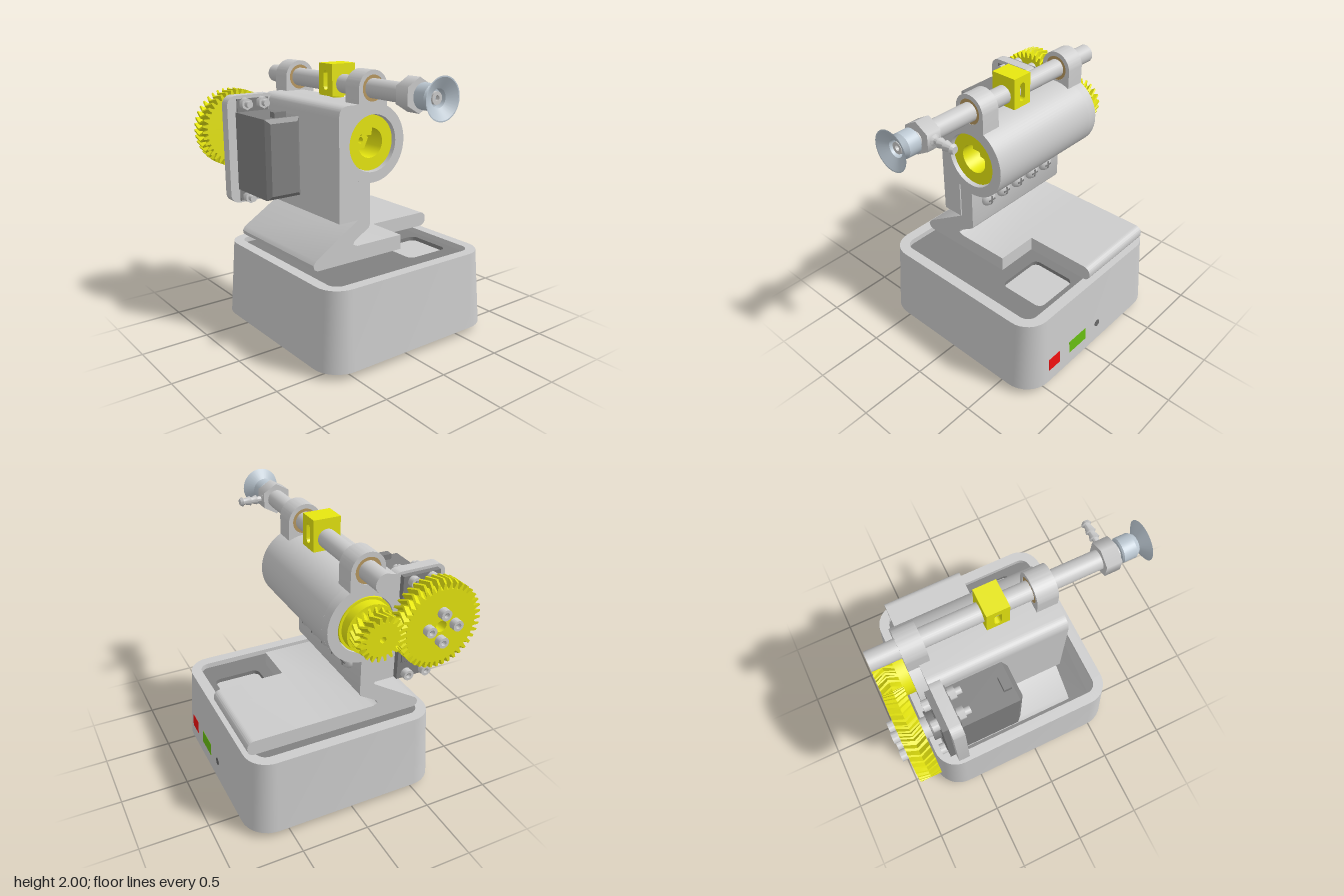
import * as THREE from 'three';
import { toCreasedNormals } from 'three/addons/utils/BufferGeometryUtils.js';

const paint = (color) => new THREE.MeshStandardMaterial({ color });
const GREY = paint(0xcccccc), DARK = paint(0x808080), YELLOW = paint(0xe6e610);
const STEEL = paint(0xbcc8d2), BRONZE = paint(0xb89860);
const CX = -0.075, BARREL_Y = 1.485, ROD_Y = 1.86, SERVO_X = -0.5, SERVO_Y = 1.475;

export function createModel() {
  const model = new THREE.Group();

  const add = (name, geometry, material = GREY, x = 0, y = 0, z = 0) => {
    const mesh = new THREE.Mesh(geometry, material);
    mesh.name = name;
    mesh.position.set(x, y, z);
    model.add(mesh);
    return mesh;
  };
  // box given by its two corners
  const box = (name, a, b, material) => add(name,
    new THREE.BoxGeometry(...a.map((v, i) => Math.abs(b[i] - v))), material,
    ...a.map((v, i) => (v + b[i]) / 2));
  // cylinder along z between two depths
  const rod = (name, r, x, y, z0, z1, material, sides = 32) => add(name,
    new THREE.CylinderGeometry(r, r, Math.abs(z1 - z0), sides).rotateX(Math.PI / 2), material, x, y, (z0 + z1) / 2);
  const extrude = (shape, depth, options = {}) => toCreasedNormals(
    new THREE.ExtrudeGeometry(shape, { depth, bevelEnabled: false, curveSegments: 24, ...options }), 0.5);
  const circle = (r, x = 0, y = 0) => new THREE.Path().absarc(x, y, r, 0, Math.PI * 2, true);
  const disc = (r, hole) => {
    const s = new THREE.Shape().absarc(0, 0, r, 0, Math.PI * 2);
    if (hole) s.holes.push(circle(hole));
    return s;
  };
  const ring = (name, r, hole, x, y, z0, z1, material) =>
    add(name, extrude(disc(r, hole), z1 - z0), material, x, y, z0);
  const roundRect = (x0, y0, x1, y1, r, s = new THREE.Shape()) => s
    .absarc(x1 - r, y0 + r, r, -Math.PI / 2, 0).absarc(x1 - r, y1 - r, r, 0, Math.PI / 2)
    .absarc(x0 + r, y1 - r, r, Math.PI / 2, Math.PI).absarc(x0 + r, y0 + r, r, Math.PI, Math.PI * 1.5);
  const polygon = (points) => new THREE.Shape(points.map((p) => new THREE.Vector2(...p)));

  // --- base: tapered rounded square with a raised rim ---
  const loft = (sections) => {
    const pos = [], idx = [], n = 36;
    for (const [half, r, y] of sections)
      for (let i = 0; i < n; i++) {
        const corner = Math.floor(i / 9), a = (corner + (i % 9) / 8) * Math.PI / 2;
        const sx = corner === 0 || corner === 3 ? 1 : -1, sz = corner < 2 ? 1 : -1;
        pos.push(sx * (half - r) + r * Math.cos(a), y, sz * (half - r) + r * Math.sin(a));
      }
    for (let s = 0; s < sections.length - 1; s++)
      for (let i = 0; i < n; i++) {
        const a = s * n + i, b = s * n + (i + 1) % n;
        idx.push(a, a + n, b, b, a + n, b + n);
      }
    const g = new THREE.BufferGeometry();
    g.setAttribute('position', new THREE.Float32BufferAttribute(pos, 3));
    g.setIndex(idx);
    return toCreasedNormals(g, 0.4);
  };
  const BX = 0.045, BZ = -0.065;
  add('baseShell', loft([[0.01, 0.005, 0.03], [0.7, 0.16, 0.03], [0.745, 0.2, 0.055],
    [0.705, 0.17, 0.63], [0.625, 0.08, 0.63], [0.625, 0.08, 0.56]]), GREY, BX, 0, BZ);
  const floor = roundRect(-0.63, -0.63, 0.63, 0.63, 0.08);
  floor.holes.push(roundRect(0.205, -0.435, 0.565, -0.065, 0.05, new THREE.Path()));
  add('baseFloor', extrude(floor, 0.04).rotateX(-Math.PI / 2), DARK, BX, 0.55, BZ);
  box('padFloor', [0.22, 0.53, -0.03], [0.64, 0.56, 0.4]);
  for (const x of [-0.57, 0.57]) for (const z of [-0.565, 0.565]) {
    const foot = ring('foot', 0.08, 0.045, 0, 0, 0, 0.035);
    foot.rotation.x = -Math.PI / 2;
    foot.position.set(BX + x, 0.005, BZ + z);
    add('footScrew', new THREE.CylinderGeometry(0.03, 0.03, 0.025, 20), DARK, BX + x, 0.025, BZ + z);
  }
  // sockets on the sloping side wall
  const side = (name, geometry, color, z) => {
    add(name, geometry, paint(color), 0.772, 0.205, z).rotation.z = 0.07;
  };
  side('powerSocket', new THREE.BoxGeometry(0.02, 0.1, 0.12), 0xee1111, 0.4);
  side('dataSocket', new THREE.BoxGeometry(0.02, 0.1, 0.19), 0x66bb11, 0.135);
  side('sideHole', new THREE.CylinderGeometry(0.028, 0.028, 0.02, 24).rotateZ(Math.PI / 2), 0x666666, -0.105);

  // --- bracket: foot plate, sloping web and upright ---
  const bracket = polygon([[0.2, 0.66], [0.2, 0.77], [-0.2, 0.77], [-0.235, 0.785], [-0.225, 0.81],
    [-0.1, 0.885], [-0.09, 0.905], [-0.09, 1.24], [-0.2, 1.24], [-0.2, 0.955], [-0.55, 0.735],
    [-0.572, 0.705], [-0.565, 0.675], [-0.54, 0.66]]);
  add('bracket', extrude(bracket, 0.97), GREY, 0, 0, -0.66);
  const arm = new THREE.Shape().moveTo(0.2, 0.66).lineTo(0.7, 0.66)
    .absarc(0.69, 0.71, 0.05, -Math.PI / 2, 0).absarc(0.69, 0.72, 0.05, 0, Math.PI / 2).lineTo(0.2, 0.77);
  add('footPlate', extrude(arm, 0.65), GREY, 0, 0, -0.66);

  // cross-head screws along the upright
  for (let i = 0; i < 5; i++) {
    const z = 0.15 - i * 0.159;
    const head = new THREE.LatheGeometry([[0.06, 0], [0.06, 0.012], [0.048, 0.032], [0.025, 0.043], [0, 0.046]]
      .map((p) => new THREE.Vector2(...p)), 28).rotateZ(-Math.PI / 2);
    add('bracketScrew', toCreasedNormals(head, 0.7), GREY, -0.09, 1.085, z);
    add('screwSlot', new THREE.BoxGeometry(0.012, 0.06, 0.012), DARK, -0.048, 1.085, z);
    add('screwSlot', new THREE.BoxGeometry(0.012, 0.012, 0.06), DARK, -0.048, 1.085, z);
  }

  // --- barrel housing ---
  const housing = new THREE.Shape().moveTo(-0.36, 0.96).lineTo(-0.2, 0.96).lineTo(-0.2, 1.24)
    .absarc(CX, BARREL_Y, 0.275, -2.04, Math.PI / 2).lineTo(-0.28, 1.76).quadraticCurveTo(-0.36, 1.76, -0.36, 1.68);
  housing.holes.push(circle(0.2, CX, BARREL_Y));
  add('barrelHousing', extrude(housing, 0.965), GREY, 0, 0, -0.645);
  ring('barrelRear', 0.275, 0.2, CX, BARREL_Y, -0.72, -0.645);

  // rod guides with bushings
  const lug = new THREE.Shape().moveTo(-0.122, -0.14).lineTo(0.122, -0.14).lineTo(0.122, 0)
    .absarc(0, 0, 0.122, 0, Math.PI);
  lug.holes.push(circle(0.09));
  for (const z of [0.17, -0.72]) {
    add('rodGuide', extrude(lug, 0.15), GREY, CX, ROD_Y, z);
    ring('bushing', 0.09, 0.067, CX, ROD_Y, z + 0.003, z + 0.147, BRONZE);
  }

  // --- cam drum inside the barrel ---
  ring('camDrumFront', 0.193, 0.105, CX, BARREL_Y, 0.1, 0.29, YELLOW);
  ring('camDrum', 0.193, 0.022, CX, BARREL_Y, -0.72, 0.1, YELLOW);
  ring('camCollar', 0.175, 0.022, CX, BARREL_Y, -0.79, -0.72, YELLOW);
  const pentagon = polygon([...Array(5).keys()].map((i) =>
    [0.07 * Math.cos(i * 1.2566 + 0.2), 0.07 * Math.sin(i * 1.2566 + 0.2)]));
  pentagon.holes.push(circle(0.022));
  add('drumKey', extrude(pentagon, 0.08), YELLOW, CX, BARREL_Y, 0.1);
  box('drumTab', [-0.12, 1.53, 0.1], [-0.03, 1.6, 0.25], YELLOW);

  // --- herringbone gears: straight teeth twisted at mid depth ---
  const gear = (name, teeth, rOut, rRoot, hole, depth, twist, phase) => {
    const points = [];
    for (let i = 0; i < teeth; i++)
      for (const [t, r] of [[-0.36, rRoot], [-0.15, rOut], [0.15, rOut], [0.36, rRoot]]) {
        const a = (i + t + phase) * Math.PI * 2 / teeth;
        points.push([r * Math.cos(a), r * Math.sin(a)]);
      }
    const shape = polygon(points);
    shape.holes.push(circle(hole));
    const g = new THREE.ExtrudeGeometry(shape, { depth, steps: 4, bevelEnabled: false, curveSegments: 12 });
    const p = g.attributes.position;
    for (let i = 0; i < p.count; i++) {
      const a = twist * (1 - Math.abs(2 * p.getZ(i) / depth - 1));
      const x = p.getX(i), y = p.getY(i);
      p.setXY(i, x * Math.cos(a) - y * Math.sin(a), x * Math.sin(a) + y * Math.cos(a));
    }
    return add(name, toCreasedNormals(g, 0.4), YELLOW);
  };
  gear('largeGear', 40, 0.3, 0.258, 0.04, 0.145, 0.11, 0).position.set(SERVO_X, SERVO_Y, -0.93);
  gear('smallGear', 20, 0.158, 0.118, 0.022, 0.145, -0.22, 0.5).position.set(CX, BARREL_Y, -0.93);

  // socket-head bolt along z, dir = way the head points
  const bolt = (name, r, x, y, z, length, dir) => {
    const g = extrude(disc(r, r * 0.5), length);
    add(name, g, GREY, x, y, dir > 0 ? z : z - length);
    rod(name + 'Socket', r * 0.55, x, y, z, z + dir * length * 0.4, DARK, 6);
  };
  for (let i = 0; i < 4; i++) {
    const a = i * Math.PI / 2;
    bolt('gearBolt', 0.038, SERVO_X + 0.1 * Math.cos(a), SERVO_Y + 0.1 * Math.sin(a), -0.928, 0.05, -1);
  }

  // --- servo and its mounting plate ---
  add('servoPlate', extrude(roundRect(-0.705, 0.96, -0.3, 1.76, 0.07), 0.08), GREY, 0, 0, -0.645);
  const body = polygon([[-0.61, 1.095], [-0.39, 1.095], [-0.39, 1.61], [-0.61, 1.61]]);
  add('servoBody', extrude(body, 0.5, { bevelEnabled: true, bevelSegments: 1, bevelSize: 0.03, bevelThickness: 0.03 }),
    DARK, 0, 0, -0.66);
  box('servoFlange', [-0.64, 0.965, -0.685], [-0.36, 1.74, -0.645], DARK);
  box('servoFlangeFront', [-0.63, 0.975, -0.57], [-0.37, 1.735, -0.555], DARK);
  box('servoCableOutlet', [-0.55, 1.6, -0.23], [-0.455, 1.68, -0.175], DARK);
  rod('servoBoss', 0.1, SERVO_X, SERVO_Y, -0.74, -0.68, DARK);
  rod('servoHorn', 0.07, SERVO_X, SERVO_Y, -0.79, -0.74);
  for (const x of [-0.57, -0.43]) for (const y of [1.0, 1.7]) {
    rod('servoNut', 0.045, x, y, -0.56, -0.51, GREY, 6);
    rod('servoBoltEnd', 0.025, x, y, -0.52, -0.47, GREY, 16);
    bolt('servoBolt', 0.038, x, y, -0.685, 0.045, -1);
  }

  // --- sliding rod with its follower ---
  rod('slidingRod', 0.067, CX, ROD_Y, -0.92, 0.67);
  const follower = polygon([[-0.08, 1.775], [0.08, 1.775], [0.08, 2], [-0.08, 2]]);
  follower.holes.push(new THREE.Path().absarc(0, 1.925, 0.025, 0, Math.PI).absarc(0, 1.84, 0.025, Math.PI, Math.PI * 2));
  add('follower', extrude(follower, 0.2).rotateY(Math.PI / 2), YELLOW, CX - 0.1, 0, -0.09);
  add('followerPin', new THREE.CylinderGeometry(0.05, 0.05, 0.13, 24), YELLOW, CX, 1.715, -0.09);

  // --- vacuum fitting and suction cup ---
  rod('fittingHex', 0.115, CX, ROD_Y, 0.665, 0.775, GREY, 6);
  const barb = [[0, 0], [0.04, 0], [0.04, 0.1], [0.022, 0.11], [0.022, 0.14], [0.035, 0.145], [0.024, 0.18],
    [0.024, 0.19], [0.035, 0.195], [0.024, 0.235], [0.024, 0.25], [0.035, 0.255], [0.024, 0.275], [0, 0.275]];
  const lathe = (pts) => toCreasedNormals(new THREE.LatheGeometry(pts.map((p) => new THREE.Vector2(...p)), 32), 0.5);
  add('hoseBarb', lathe(barb).rotateZ(-Math.PI / 2), GREY, CX, ROD_Y, 0.715);
  rod('cupStem', 0.05, CX, ROD_Y, 0.77, 0.81);
  const cup = [[0, 0.8], [0.075, 0.8], [0.085, 0.81], [0.085, 0.9], [0.062, 0.93], [0.14, 0.98],
    [0.132, 0.98], [0.06, 0.94], [0.055, 0.9], [0, 0.9]];
  add('suctionCup', lathe(cup).rotateX(Math.PI / 2), STEEL, CX, ROD_Y, 0);
  ring('cupInsert', 0.04, 0.018, CX, ROD_Y, 0.9, 0.93);

  return model;
}
